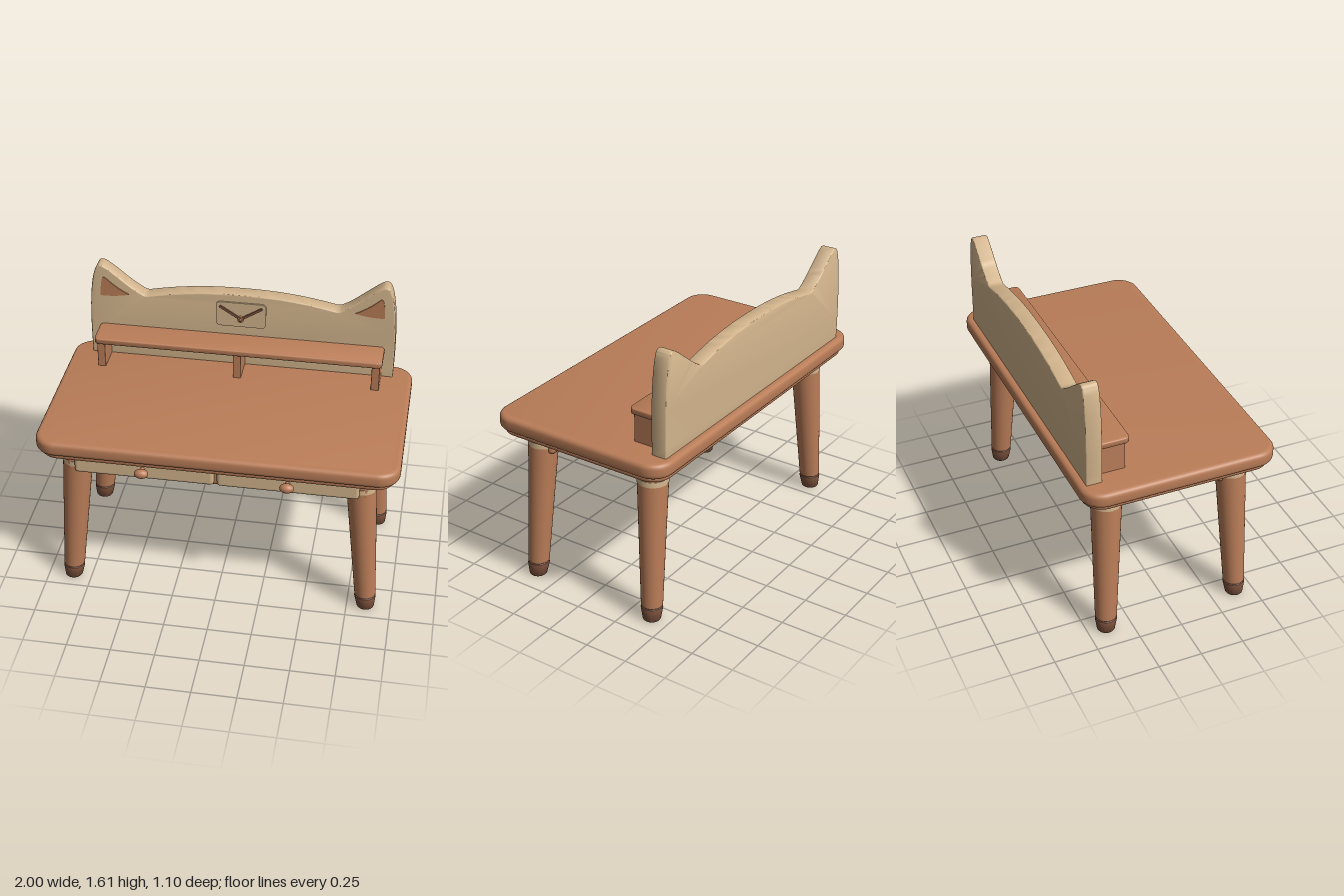
import * as THREE from 'three';
import { toCreasedNormals } from 'three/addons/utils/BufferGeometryUtils.js';
import { RoundedBoxGeometry } from 'three/addons/geometries/RoundedBoxGeometry.js';

const mat = (name, color) => new THREE.MeshStandardMaterial({ name, color });

export function createModel() {
  const wood = mat('warm wood', 0xba7d58);
  const cream = mat('cream wood', 0xd2b48c);
  const dark = mat('dark wood', 0x80543f);
  const model = new THREE.Group();
  model.name = 'childDesk';

  const add = (name, geometry, material, x = 0, y = 0, z = 0, parent = model) => {
    const mesh = new THREE.Mesh(geometry, material);
    mesh.name = name;
    mesh.position.set(x, y, z);
    parent.add(mesh);
    return mesh;
  };

  // Rounded box given by its limits
  const block = (name, material, [x0, x1], [y0, y1], [z0, z1], r) =>
    add(name, new RoundedBoxGeometry(x1 - x0, y1 - y0, z1 - z0, 4, r), material,
      (x0 + x1) / 2, (y0 + y1) / 2, (z0 + z1) / 2);

  const roundedRect = (w, h, r) => {
    const x = w / 2, y = h / 2;
    const s = new THREE.Shape();
    s.absarc(x - r, y - r, r, 0, Math.PI / 2);
    s.absarc(-x + r, y - r, r, Math.PI / 2, Math.PI);
    s.absarc(-x + r, -y + r, r, Math.PI, Math.PI * 1.5);
    s.absarc(x - r, -y + r, r, Math.PI * 1.5, Math.PI * 2);
    s.closePath();
    return s;
  };

  // Extrusion from z = 0 to z = depth whose bevel stays inside the outline
  const slab = (shape, depth, bevel) => {
    const g = new THREE.ExtrudeGeometry(shape, {
      depth: depth - 2 * bevel, curveSegments: 12, bevelEnabled: bevel > 0,
      bevelSize: bevel, bevelThickness: bevel, bevelOffset: -bevel, bevelSegments: 4,
    });
    g.translate(0, 0, bevel);
    return toCreasedNormals(g, 0.6);
  };
  const board = (name, w, d, r, y0, y1, bevel, z = 0) =>
    add(name, slab(roundedRect(w, d, r), y1 - y0, bevel).rotateX(-Math.PI / 2), wood, 0, y0, z);

  // Table top with a stepped lip beneath
  board('tableTop', 2, 1.1, 0.12, 0.95, 1.035, 0.025);
  board('tableLip', 1.95, 1.055, 0.11, 0.922, 0.955, 0.01);

  // Splayed tapered legs: turned profiles sheared towards the top
  const turned = (points, sx, sz) => {
    const g = new THREE.LatheGeometry(points.map(([r, y]) => new THREE.Vector2(r, y)), 32);
    const p = g.attributes.position;
    for (let i = 0; i < p.count; i++) {
      const y = p.getY(i);
      p.setX(i, p.getX(i) + sx * (0.857 - 0.078 * y));
      p.setZ(i, p.getZ(i) + sz * (0.393 - 0.036 * y));
    }
    return toCreasedNormals(g.toNonIndexed(), 0.6);
  };
  for (const sx of [-1, 1]) for (const sz of [-1, 1]) {
    const leg = new THREE.Group();
    leg.name = (sz > 0 ? 'front' : 'back') + (sx > 0 ? 'Left' : 'Right') + 'Leg';
    model.add(leg);
    const part = (name, pts, m) => add(name, turned(pts, sx, sz), m, 0, 0, 0, leg);
    part('legShaft', [[0, 0.085], [0.056, 0.085], [0.06, 0.09], [0.084, 0.82], [0.084, 0.93]], wood);
    part('legBand', [[0.082, 0.822], [0.0865, 0.822], [0.0865, 0.853], [0.082, 0.853]], cream);
    part('legFoot', [[0, 0], [0.046, 0], [0.05, 0.005], [0.061, 0.07], [0.06, 0.081], [0.055, 0.086], [0, 0.086]], dark);
  }

  // Rails between the legs
  for (const s of [-1, 1])
    block(s > 0 ? 'leftRail' : 'rightRail', wood, [s * 0.79 - 0.03, s * 0.79 + 0.03], [0.82, 0.93], [-0.3, 0.3], 0.02);
  block('backRail', wood, [-0.75, 0.75], [0.82, 0.93], [-0.39, -0.33], 0.02);

  // Drawer housing, drawers and knobs
  block('drawerHousing', wood, [-0.84, 0.84], [0.785, 0.93], [0.265, 0.445], 0.025);
  for (const s of [-1, 1]) {
    const side = s > 0 ? 'left' : 'right';
    block(side + 'Drawer', cream, s > 0 ? [0.008, 0.788] : [-0.788, -0.008], [0.803, 0.925], [0.42, 0.475], 0.02);
    const stem = new THREE.CylinderGeometry(0.014, 0.014, 0.04, 16).rotateX(Math.PI / 2);
    add(side + 'KnobStem', stem, wood, s * 0.4, 0.872, 0.488);
    add(side + 'Knob', new THREE.SphereGeometry(1, 24, 16).scale(0.04, 0.027, 0.028), wood, s * 0.4, 0.872, 0.518);
  }

  // Back panel with a pair of pointed ears
  const b = new THREE.Shape();
  b.moveTo(-0.885, 1.03);
  b.lineTo(0.885, 1.03);
  b.bezierCurveTo(0.892, 1.25, 0.885, 1.5, 0.846, 1.59);
  b.quadraticCurveTo(0.832, 1.622, 0.8, 1.608);
  b.bezierCurveTo(0.74, 1.575, 0.65, 1.48, 0.57, 1.44);
  b.quadraticCurveTo(0.555, 1.433, 0.535, 1.438);
  b.bezierCurveTo(0.35, 1.478, 0.2, 1.493, 0, 1.493);
  b.bezierCurveTo(-0.2, 1.493, -0.35, 1.478, -0.535, 1.438);
  b.quadraticCurveTo(-0.555, 1.433, -0.57, 1.44);
  b.bezierCurveTo(-0.65, 1.48, -0.74, 1.575, -0.8, 1.608);
  b.quadraticCurveTo(-0.832, 1.622, -0.846, 1.59);
  b.bezierCurveTo(-0.885, 1.5, -0.892, 1.25, -0.885, 1.03);
  add('backPanel', slab(b, 0.09, 0.008), cream, 0, 0, -0.511);

  // Inner ear patches
  for (const s of [-1, 1]) {
    const e = new THREE.Shape();
    e.moveTo(s * 0.82, 1.42);
    e.quadraticCurveTo(s * 0.73, 1.418, s * 0.652, 1.438);
    e.quadraticCurveTo(s * 0.72, 1.47, s * 0.785, 1.532);
    e.quadraticCurveTo(s * 0.8, 1.545, s * 0.808, 1.53);
    e.quadraticCurveTo(s * 0.82, 1.48, s * 0.82, 1.42);
    add(s > 0 ? 'leftInnerEar' : 'rightInnerEar', slab(e, 0.007, 0), wood, 0, 0, -0.422);
  }

  // Clock plate, hands and hub
  add('clockPlate', slab(roundedRect(0.29, 0.155, 0.025), 0.009, 0), cream, 0, 1.367, -0.421);
  for (const s of [-1, 1]) {
    const hand = add(s > 0 ? 'minuteHand' : 'hourHand', new THREE.BoxGeometry(0.145, 0.013, 0.01), dark, s * 0.061, 1.382, -0.406);
    hand.rotation.z = s * Math.atan2(0.075, 0.12);
  }
  add('clockHub', new THREE.CylinderGeometry(0.018, 0.018, 0.02, 24).rotateX(Math.PI / 2), wood, 0, 1.345, -0.404);
  add('clockPin', new THREE.SphereGeometry(0.01, 16, 12), dark, 0, 1.345, -0.395);

  // Shelf on three supports
  board('shelf', 1.66, 0.19, 0.03, 1.194, 1.231, 0.008, -0.336);
  for (const x of [-0.795, 0, 0.795])
    block('shelfSupport', wood, [x - 0.023, x + 0.023], [1.03, 1.2], [-0.425, -0.266], 0.004);

  return model;
}
